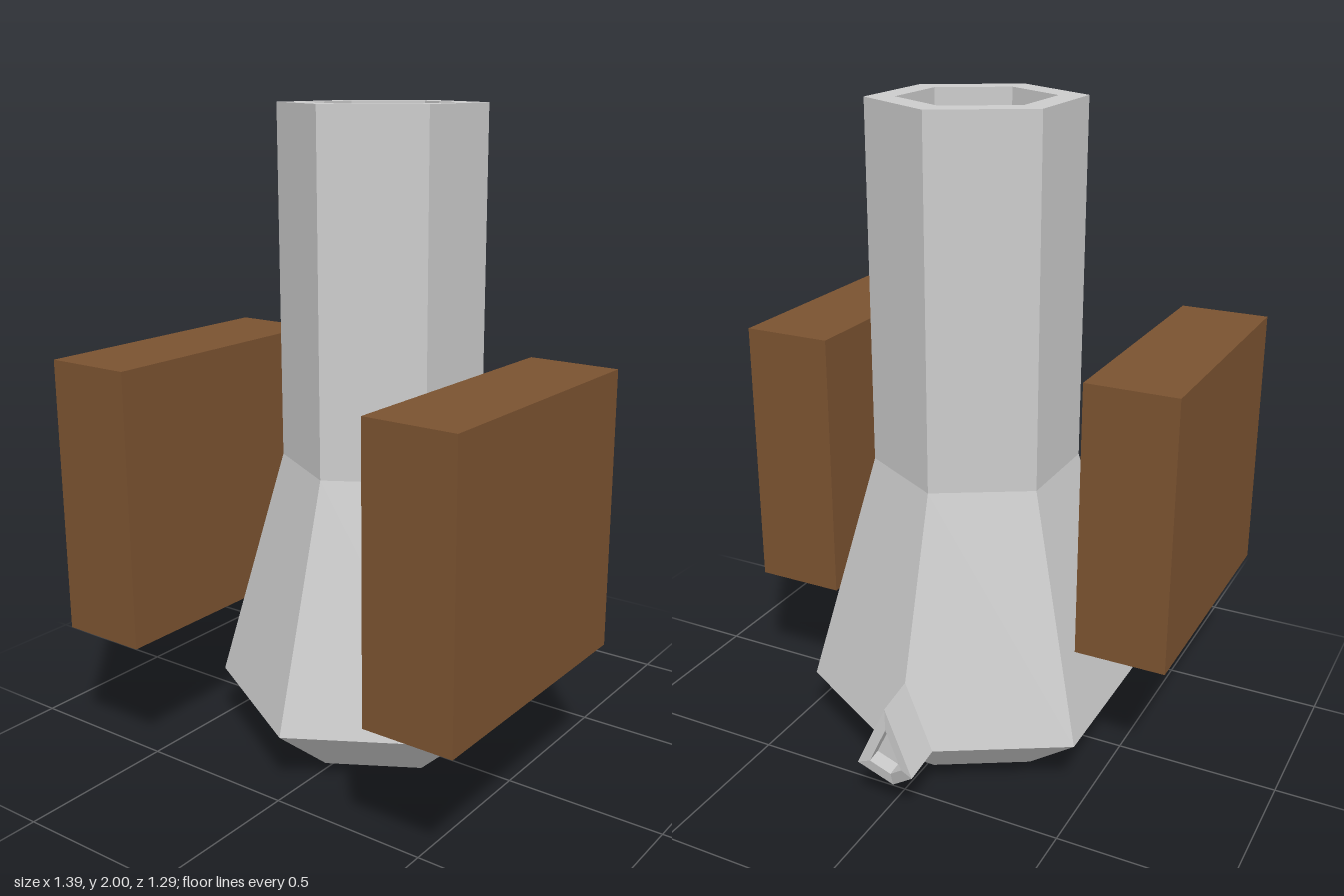
import * as THREE from 'three';

const metal = new THREE.MeshStandardMaterial({ color: 0xcccccc, flatShading: true });
const wood = new THREE.MeshStandardMaterial({ color: 0x7a5230, flatShading: true });

// Skin quads between rings of equal length, then cap the last ring
function loft(rings) {
  const n = rings[0].length;
  const index = [];
  for (let i = 0; i < rings.length - 1; i++) {
    for (let j = 0; j < n; j++) {
      const a = i * n + j, b = i * n + (j + 1) % n;
      index.push(a, b, b + n, a, b + n, a + n);
    }
  }
  const last = (rings.length - 1) * n;
  for (let j = 1; j < n - 1; j++) index.push(last, last + j, last + j + 1);
  const geometry = new THREE.BufferGeometry();
  geometry.setAttribute('position', new THREE.Float32BufferAttribute(rings.flat(2), 3));
  geometry.setIndex(index);
  const flat = geometry.toNonIndexed();
  flat.computeVertexNormals();
  return flat;
}

export function createModel() {
  const group = new THREE.Group();
  const add = (name, geometry, material, x, y, z) => {
    const mesh = new THREE.Mesh(geometry, material);
    mesh.name = name;
    mesh.position.set(x, y, z);
    group.add(mesh);
  };

  // Six-sided barrel with a flared breech and a hollow bore
  const profile = [
    [0, 0], [0.3, 0], [0.52, 0.185], [0.31, 0.93], [0.31, 2],
    [0.225, 2], [0.225, 0.4], [0, 0.4],
  ].map(([r, y]) => new THREE.Vector2(r, y));
  add('barrel', new THREE.LatheGeometry(profile, 6), metal, -0.02, 0, -0.055);

  // Kite-shaped vent at the back: root, rim, inset lip, recessed floor
  const root = [[0, 0.39, -0.517], [0.09, 0.185, -0.523], [0, 0.11, -0.486], [-0.09, 0.185, -0.523]];
  const rim = [[0, 0.37, -0.637], [0.09, 0.17, -0.645], [0, 0.09, -0.6], [-0.09, 0.17, -0.645]];
  const centre = [0, 0.2, -0.632];
  const lip = rim.map((p) => p.map((v, k) => centre[k] + (v - centre[k]) * 0.58));
  const floor = lip.map(([x, y, z]) => [x, y + 0.005, z + 0.045]);
  add('vent', loft([root, rim, lip, floor]), metal, -0.02, 0, 0);

  // Wooden side blocks
  for (const [name, side] of [['leftBlock', 1], ['rightBlock', -1]]) {
    add(name, new THREE.BoxGeometry(0.28, 0.845, 0.845), wood, side * 0.557, 0.8525, 0.2225);
  }
  return group;
}
